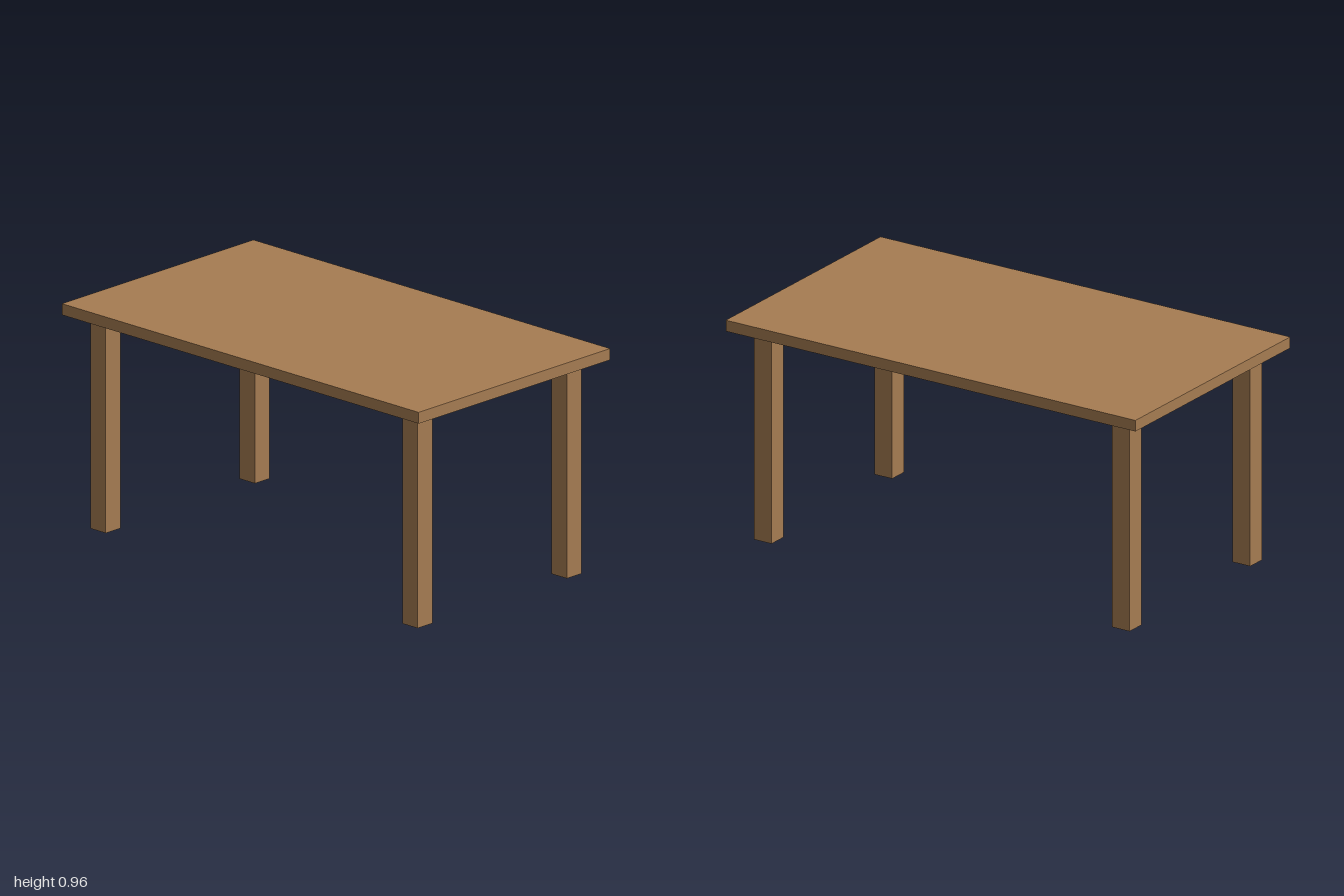
import * as THREE from 'three';

const TOP = { width: 2, depth: 1.122, thickness: 0.048 };
const LEG = { side: 0.086, height: 0.913, x: 0.874, z: 0.437 };

export function createModel() {
  const table = new THREE.Group();
  table.name = 'table';
  const wood = new THREE.MeshStandardMaterial({ color: 0xa67c52 });

  // Flat rectangular slab resting on the legs
  const top = new THREE.Mesh(new THREE.BoxGeometry(TOP.width, TOP.thickness, TOP.depth), wood);
  top.name = 'tableTop';
  top.position.y = LEG.height + TOP.thickness / 2;
  table.add(top);

  // Four square legs, inset from the corners
  const legGeometry = new THREE.BoxGeometry(LEG.side, LEG.height, LEG.side);
  for (const [endZ, signZ] of [['front', 1], ['back', -1]]) {
    for (const [endX, signX] of [['Left', 1], ['Right', -1]]) {
      const leg = new THREE.Mesh(legGeometry, wood);
      leg.name = `${endZ}${endX}Leg`;
      leg.position.set(signX * LEG.x, LEG.height / 2, signZ * LEG.z);
      table.add(leg);
    }
  }
  return table;
}
